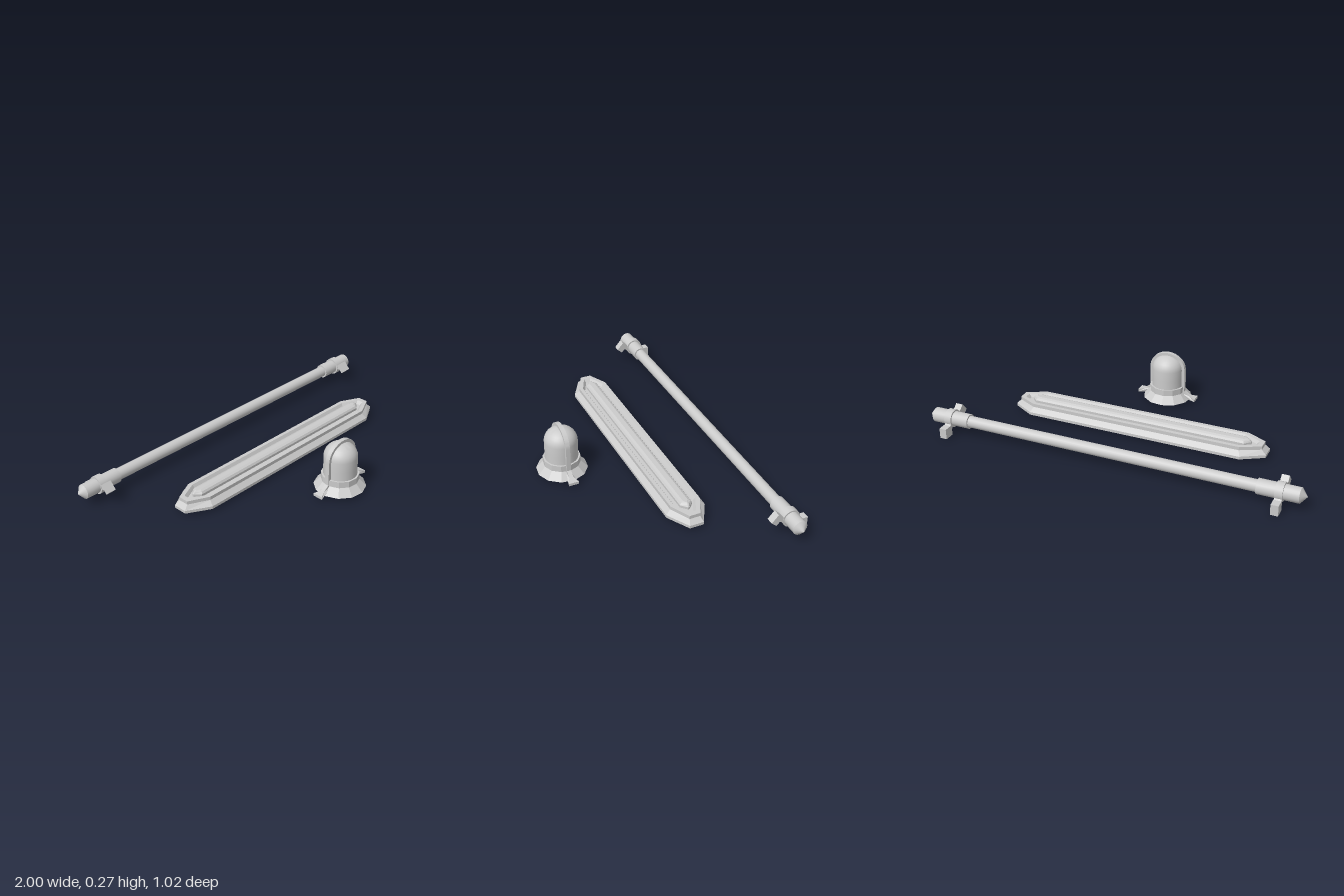
import * as THREE from 'three';
import { toCreasedNormals } from 'three/addons/utils/BufferGeometryUtils.js';

const smooth = new THREE.MeshStandardMaterial({ color: 0xcccccc });
const flat = new THREE.MeshStandardMaterial({ color: 0xcccccc, flatShading: true });

function add(parent, name, geometry, material = smooth) {
  const mesh = new THREE.Mesh(geometry, material);
  mesh.name = name;
  parent.add(mesh);
  return mesh;
}

// Stack of long octagons, each [half length, shoulder x, half depth, half end depth, y]
function loftOctagons(levels) {
  const pos = [];
  const rings = levels.map(([hx, sx, hz, ez, y]) => [
    [hx, y, ez], [sx, y, hz], [-sx, y, hz], [-hx, y, ez],
    [-hx, y, -ez], [-sx, y, -hz], [sx, y, -hz], [hx, y, -ez],
  ]);
  const tri = (a, b, c) => pos.push(...a, ...b, ...c);
  for (let k = 0; k + 1 < rings.length; k++) {
    for (let i = 0; i < 8; i++) {
      const j = (i + 1) % 8, lo = rings[k], hi = rings[k + 1];
      tri(lo[i], hi[i], lo[j]);
      tri(hi[i], hi[j], lo[j]);
    }
  }
  const bottom = rings[0], top = rings[rings.length - 1];
  for (let i = 1; i < 7; i++) {
    tri(bottom[0], bottom[i], bottom[i + 1]);
    tri(top[0], top[i + 1], top[i]);
  }
  const geo = new THREE.BufferGeometry();
  geo.setAttribute('position', new THREE.Float32BufferAttribute(pos, 3));
  geo.computeVertexNormals();
  return geo;
}

function lathe(points, sides, crease = 0.6) {
  const geo = new THREE.LatheGeometry(points.map(([r, y]) => new THREE.Vector2(r, y)), sides);
  return toCreasedNormals(geo, crease);
}

function domeLamp() {
  const lamp = new THREE.Group();
  lamp.name = 'domeLamp';

  // Faceted flared base with its collar
  const base = add(lamp, 'flaredBase', lathe(
    [[0, 0.016], [0.132, 0.016], [0.096, 0.054], [0.096, 0.087], [0.08, 0.087]], 12, 0.1), flat);
  base.rotation.y = 0.13;

  // Rounded glass
  const profile = [[0.085, 0.07], [0.085, 0.13]];
  for (let i = 0; i <= 8; i++) {
    const a = (i / 8) * Math.PI / 2;
    profile.push([0.085 * Math.cos(a), 0.185 + 0.073 * Math.sin(a)]);
  }
  add(lamp, 'domeGlass', lathe(profile, 32));

  // Strap over the glass, ending in two splayed feet
  const s = new THREE.Shape();
  s.moveTo(0.166, 0.016);
  s.lineTo(0.166, 0.03);
  s.lineTo(0.13, 0.038);
  s.lineTo(0.101, 0.06);
  s.lineTo(0.099, 0.185);
  s.absellipse(0, 0.185, 0.099, 0.087, 0, Math.PI, false);
  s.lineTo(-0.101, 0.06);
  s.lineTo(-0.13, 0.038);
  s.lineTo(-0.166, 0.03);
  s.lineTo(-0.166, 0.016);
  s.lineTo(-0.12, 0.016);
  s.lineTo(-0.08, 0.05);
  s.absellipse(0, 0.185, 0.08, 0.067, Math.PI, 0, true);
  s.lineTo(0.08, 0.05);
  s.lineTo(0.12, 0.016);
  let strap = new THREE.ExtrudeGeometry(s, { depth: 0.022, bevelEnabled: false, curveSegments: 16 });
  strap.translate(0, 0, -0.011);
  const p = strap.attributes.position;
  for (let i = 0; i < p.count; i++) {
    if (Math.abs(p.getX(i)) > 0.15) p.setZ(i, p.getZ(i) * 2.45);
  }
  strap.computeVertexNormals();
  add(lamp, 'strap', toCreasedNormals(strap, 0.5));
  return lamp;
}

function panelLamp() {
  const lamp = new THREE.Group();
  lamp.name = 'panelLamp';
  // Stepped housing with a raised rim round a shallow trough
  add(lamp, 'housing', loftOctagons([
    [0.698, 0.582, 0.103, 0.036, 0.016],
    [0.698, 0.582, 0.103, 0.036, 0.031],
    [0.675, 0.572, 0.079, 0.028, 0.053],
    [0.675, 0.572, 0.079, 0.028, 0.071],
    [0.65, 0.562, 0.06, 0.018, 0.071],
    [0.635, 0.557, 0.05, 0.012, 0.055],
  ]), flat);
  // Long glass with pointed ends
  add(lamp, 'longGlass', loftOctagons([
    [0.612, 0.582, 0.032, 0.004, 0.05],
    [0.612, 0.582, 0.032, 0.004, 0.068],
    [0.604, 0.578, 0.025, 0.003, 0.078],
    [0.592, 0.572, 0.013, 0.002, 0.083],
  ]), flat);
  return lamp;
}

function tubeLamp() {
  const lamp = new THREE.Group();
  lamp.name = 'tubeLamp';

  // Plain rod between the sockets
  const rod = add(lamp, 'tube', new THREE.CylinderGeometry(0.03, 0.03, 1.56, 24, 1, true));
  rod.rotation.z = Math.PI / 2;

  for (const side of [1, -1]) {
    const end = new THREE.Group();
    end.name = side > 0 ? 'leftEnd' : 'rightEnd';
    end.rotation.y = side > 0 ? 0 : Math.PI;
    lamp.add(end);

    // Socket closed by a shallow cone
    const socket = add(end, 'socket',
      lathe([[0.028, 0.765], [0.038, 0.765], [0.038, 0.968], [0, 1]], 20));
    socket.rotation.z = -Math.PI / 2;

    // Clamp ring
    const ring = add(end, 'clampRing', new THREE.CylinderGeometry(0.046, 0.046, 0.038, 20));
    ring.rotation.z = Math.PI / 2;
    ring.position.x = 0.874;

    // Bracket blocks and the arms that join them to the ring: [name, y, z, height, depth, tilt]
    for (const [name, y, z, h, d, tilt] of [
      ['mountBlock', -0.049, -0.066, 0.054, 0.054, 0],
      ['mountArm', -0.028, -0.036, 0.026, 0.05, -0.7],
      ['screwBlock', 0.014, 0.076, 0.036, 0.052, 0.85],
      ['screwArm', 0.008, 0.048, 0.024, 0.04, -0.2],
    ]) {
      const width = name.endsWith('Arm') ? 0.034 : 0.038;
      const block = add(end, name, new THREE.BoxGeometry(width, h, d));
      block.position.set(0.874, y, z * side);
      block.rotation.x = tilt * side;
    }
  }
  return lamp;
}

export function createModel() {
  const model = new THREE.Group();
  model.name = 'lampSet';
  const dome = domeLamp();
  dome.position.z = 0.38;
  const panel = panelLamp();
  panel.position.z = -0.027;
  const tube = tubeLamp();
  tube.position.set(0, 0.077, -0.417);
  model.add(dome, panel, tube);
  return model;
}
